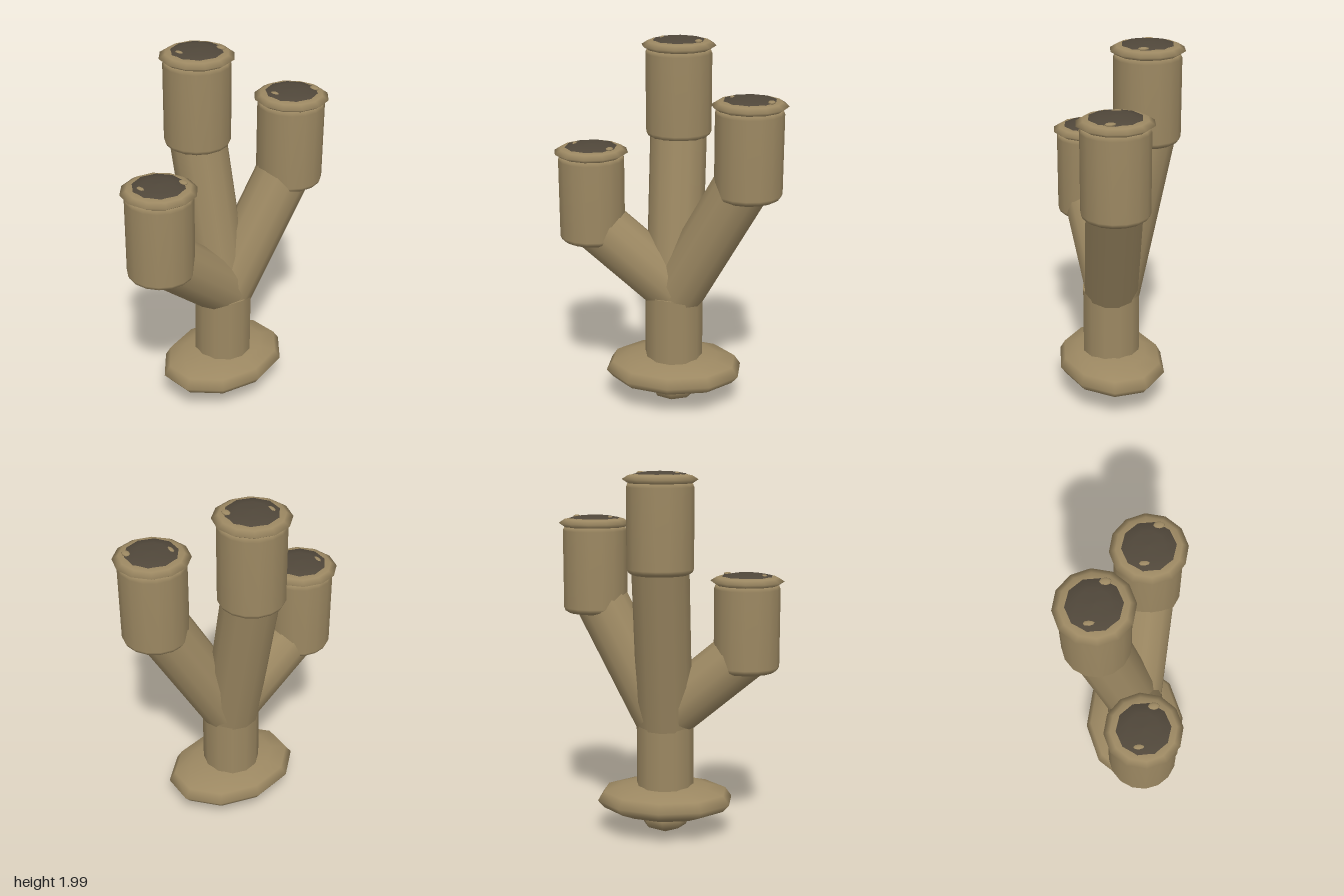
import * as THREE from 'three';

const tan = new THREE.MeshStandardMaterial({ color: 0x9c8862 });
const dark = new THREE.MeshStandardMaterial({ color: 0x50473a });

const V = (x, y, z) => new THREE.Vector3(x, y, z);

function add(parent, name, geometry, material, pos) {
  const mesh = new THREE.Mesh(geometry, material);
  mesh.name = name;
  if (pos) mesh.position.copy(pos);
  parent.add(mesh);
  return mesh;
}

// turned shape from [radius, height] pairs, listed from the bottom up
function turned(profile, sides) {
  return new THREE.LatheGeometry(profile.map(([r, y]) => new THREE.Vector2(r, y)), sides);
}

// round stalk between two points
function stalk(parent, name, from, to, radius) {
  const dir = to.clone().sub(from);
  const geometry = new THREE.CylinderGeometry(radius, radius, dir.length(), 12);
  const mesh = add(parent, name, geometry, tan, from.clone().lerp(to, 0.5));
  mesh.quaternion.setFromUnitVectors(V(0, 1, 0), dir.normalize());
}

// upright cup with a thin flared rim and a dark domed mouth
function cup(parent, name, pos) {
  const g = new THREE.Group();
  g.name = name;
  g.position.copy(pos);
  parent.add(g);
  add(g, 'cupBody', turned([
    [0, 0], [0.15, 0], [0.168, 0.012], [0.176, 0.03],
    [0.176, 0.445], [0.168, 0.465], [0, 0.465],
  ], 16), tan);
  add(g, 'cupRim', turned([
    [0.13, 0.462], [0.165, 0.464], [0.197, 0.485], [0.165, 0.505], [0.13, 0.512], [0.11, 0.505],
  ], 12), tan);
  add(g, 'cupMouth', turned([[0.142, 0.495], [0.136, 0.513], [0.08, 0.523], [0, 0.527]], 10), dark);
  // pale flecks in the mouth
  for (const [x, z, w, d] of [[-0.09, -0.03, 0.015, 0.03], [0.11, 0.06, 0.02, 0.03]]) {
    const fleck = add(g, 'mouthFleck', new THREE.SphereGeometry(1, 8, 6), tan, V(x, 0.516, z));
    fleck.scale.set(w, 0.008, d);
  }
}

export function createModel() {
  const model = new THREE.Group();
  model.name = 'branchingCups';
  const cx = 0.02, cz = 0.05;

  // pointed foot under the disc
  add(model, 'foot', turned([[0, 0.005], [0.115, 0.055], [0.14, 0.11], [0.1, 0.18]], 8), tan, V(cx, 0, cz));

  // flattened oval base disc
  const disc = add(model, 'baseDisc', turned([
    [0, 0.11], [0.14, 0.105], [0.25, 0.125], [0.345, 0.16], [0.38, 0.2],
    [0.345, 0.25], [0.25, 0.275], [0.14, 0.295], [0, 0.295],
  ], 10), tan, V(cx, 0, cz));
  disc.scale.z = 0.765;

  // trunk
  stalk(model, 'trunk', V(cx, 0.15, cz), V(cx, 0.65, cz), 0.157);

  // three branches, each ending in a cup
  const branches = [
    { side: 'back', start: V(cx, 0.6, cz), end: V(cx, 1.55, -0.155), cup: V(cx, 1.47, -0.148), r: 0.152 },
    { side: 'left', start: V(cx, 0.62, cz), end: V(0.4, 1.32, 0.145), cup: V(0.415, 1.225, 0.145), r: 0.148 },
    { side: 'right', start: V(cx, 0.67, cz), end: V(-0.42, 1.04, 0.045), cup: V(-0.42, 0.933, 0.045), r: 0.15 },
  ];
  for (const b of branches) {
    stalk(model, b.side + 'Branch', b.start, b.end, b.r);
    cup(model, b.side + 'Cup', b.cup);
  }
  return model;
}
